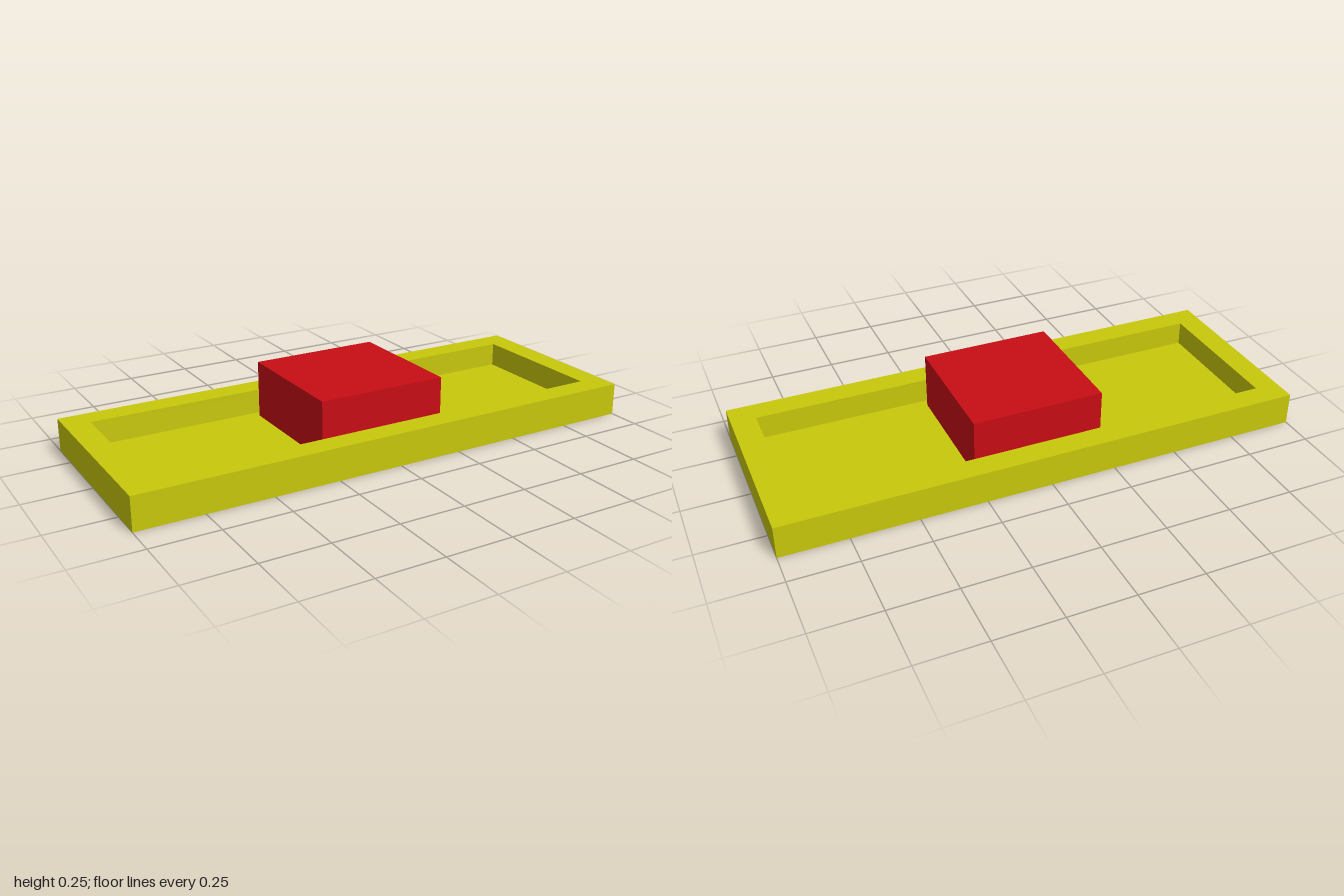
import * as THREE from 'three';

// Outer half sizes, rim width and heights
const HX = 1, HZ = 0.375, RIM = 0.093;
const FLOOR = 0.031, RIM_TOP = 0.125, BLOCK_TOP = 0.25;

// Corners of a centred rectangle
const rect = (x, z) => [[-x, -z], [x, -z], [x, z], [-x, z]].map(p => new THREE.Vector2(...p));

function addBox(group, name, material, w, d, y0, y1) {
  const mesh = new THREE.Mesh(new THREE.BoxGeometry(w, y1 - y0, d), material);
  mesh.position.y = (y0 + y1) / 2;
  mesh.name = name;
  group.add(mesh);
}

export function createModel() {
  const model = new THREE.Group();
  model.name = 'trayWithBlock';
  const yellow = new THREE.MeshStandardMaterial({ color: 0xc8c80c });
  const red = new THREE.MeshStandardMaterial({ color: 0xc80d14 });

  // Shallow tray: floor slab with a raised rim around it
  const tray = new THREE.Group();
  tray.name = 'tray';
  addBox(tray, 'trayFloor', yellow, HX * 2, HZ * 2, 0, FLOOR);

  const outline = new THREE.Shape(rect(HX, HZ));
  outline.holes.push(new THREE.Path(rect(HX - RIM, HZ - RIM)));
  const rimGeometry = new THREE.ExtrudeGeometry(outline, { depth: RIM_TOP - FLOOR, bevelEnabled: false });
  rimGeometry.rotateX(-Math.PI / 2);
  const rim = new THREE.Mesh(rimGeometry, yellow);
  rim.position.y = FLOOR;
  rim.name = 'trayRim';
  tray.add(rim);
  model.add(tray);

  // Block set into the middle of the floor
  addBox(model, 'centreBlock', red, 0.5, 0.5, 0.01, BLOCK_TOP);
  return model;
}
